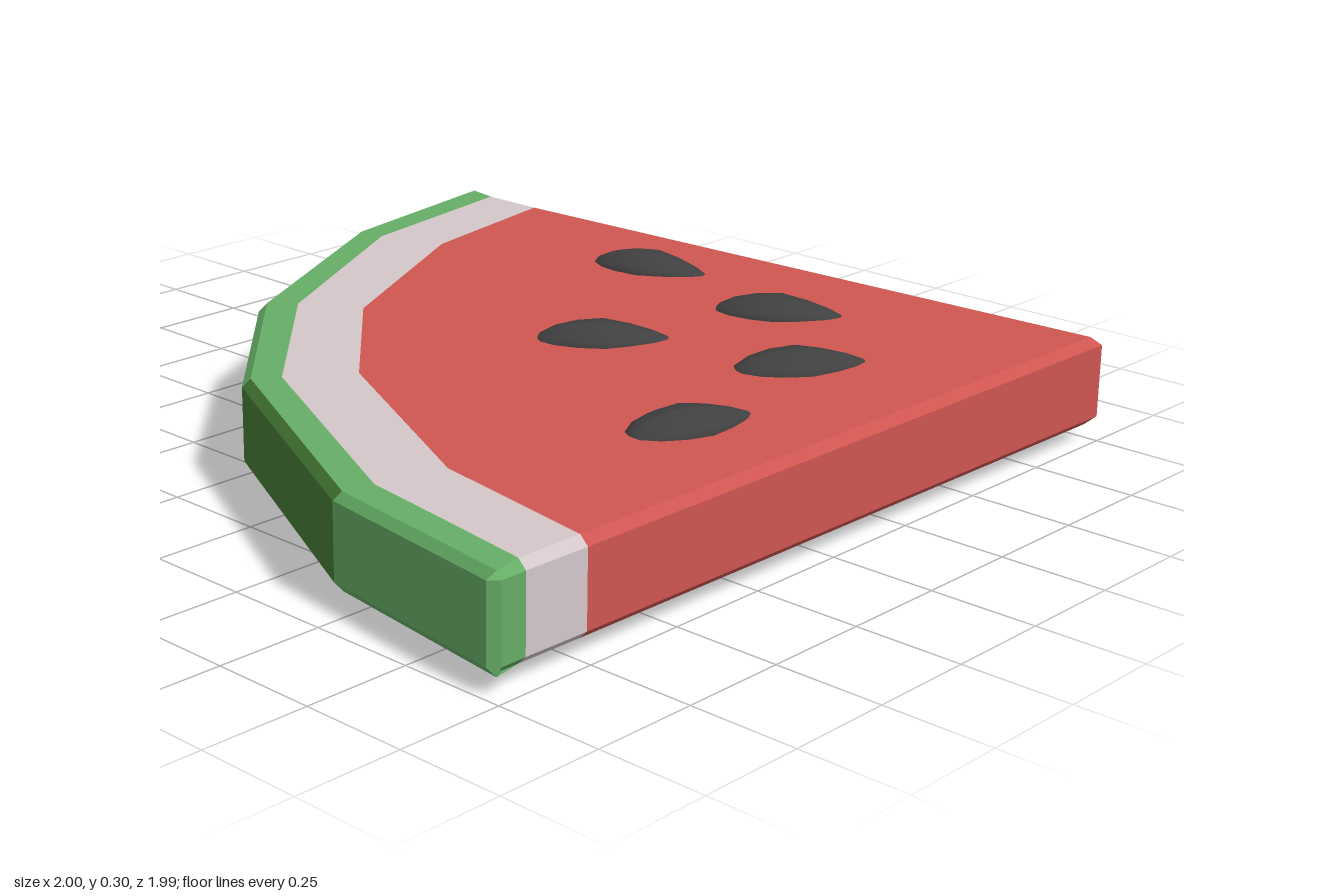
import * as THREE from 'three';

const BEVEL = 0.02;
const LAYERS = [[0.045, BEVEL], [0.065, 0], [0.24, 0], [0.26, BEVEL]]; // height, inset
const TIP = [0.995, -1];

// Contours across the slice as [x, z], running from the back left to the front right
const SKIN = [[-0.98, -0.92], [-1, -0.9], [-0.91, -0.39], [-0.6, 0.205], [-0.195, 0.6], [0.46, 0.92], [0.957, 0.99], [0.977, 0.97]];
const RIND_IN = [[-0.91, -0.92], [-0.907, -0.9], [-0.825, -0.41], [-0.53, 0.14], [-0.14, 0.53], [0.49, 0.835], [0.957, 0.903], [0.977, 0.905]];
const PITH_OUT = RIND_IN.filter((p, i) => i !== 1 && i !== 6);
const PITH_IN = [[-0.74, -0.92], [-0.66, -0.47], [-0.39, 0.055], [-0.04, 0.39], [0.53, 0.67], [0.98, 0.74]];

const quad = (list, a, b, c, d) => list.push(...a, ...b, ...c, ...a, ...c, ...d);

function makeMesh(name, positions, material) {
  const geometry = new THREE.BufferGeometry();
  geometry.setAttribute('position', new THREE.Float32BufferAttribute(positions, 3));
  geometry.computeVertexNormals();
  const mesh = new THREE.Mesh(geometry, material);
  mesh.name = name;
  return mesh;
}

// Point of a contour on one layer, drawn in from the cut faces and the skin
function place([x, z], i, last, [y, e], kind) {
  if (kind === 'tip') return [x - e, y, z + e];
  if (i === 0) return [x + (kind === 'skin' ? e : 0), y, z + e];
  if (i === last) return [x - e, y, z - (kind === 'skin' ? e : 0)];
  if (kind === 'skin') return [x + 0.7 * e, y, z - 0.7 * e];
  return [x, y, z];
}

// Band between two contours: flat faces, cut ends, and skin walls if wallFor is given
function band(list, outer, inner, outerKind, innerKind, wallFor) {
  const last = outer.length - 1;
  const rows = LAYERS.map((layer) => ({
    out: outer.map((p, i) => place(p, i, last, layer, outerKind)),
    inn: inner.map((p, i) => place(p, i, last, layer, innerKind)),
  }));
  const bottom = rows[0], top = rows[3];
  for (let i = 0; i < last; i++) {
    quad(list, top.out[i], top.out[i + 1], top.inn[i + 1], top.inn[i]);
    quad(list, bottom.out[i + 1], bottom.out[i], bottom.inn[i], bottom.inn[i + 1]);
  }
  for (let k = 0; k < 3; k++) {
    const lo = rows[k], hi = rows[k + 1];
    quad(list, lo.inn[0], lo.out[0], hi.out[0], hi.inn[0]);
    quad(list, lo.out[last], lo.inn[last], hi.inn[last], hi.out[last]);
    if (!wallFor) continue;
    for (let i = 0; i < last; i++) {
      quad(wallFor(i), lo.out[i], lo.out[i + 1], hi.out[i + 1], hi.out[i]);
    }
  }
}

// Teardrop with its point towards +x, one unit in each half axis
function seedGeometry() {
  const geometry = new THREE.SphereGeometry(1, 12, 8).rotateZ(-Math.PI / 2);
  const pos = geometry.attributes.position;
  for (let i = 0; i < pos.count; i++) {
    const u = pos.getX(i);
    const taper = u > 0 ? 1 - 0.4 * u : 1;
    pos.setXYZ(i, u, pos.getY(i) * taper, pos.getZ(i) * taper);
  }
  geometry.computeVertexNormals();
  return geometry;
}

export function createModel() {
  const paint = (name, color) => {
    const material = new THREE.MeshStandardMaterial({ color });
    material.name = name;
    return material;
  };
  const red = paint('flesh red', 0xcf5651);
  const pale = paint('pith white', 0xd3c7ca);
  const green = paint('light green', 0x66ad66);
  const darkGreen = paint('dark green', 0x467a35);
  const black = paint('seed black', 0x404040);

  const model = new THREE.Group();
  model.name = 'watermelonSlice';

  // Rind with alternating dark stripes on its skin
  const rind = [], stripes = [];
  band(rind, SKIN, RIND_IN, 'skin', 'cut', (i) => (i === 2 || i === 4 ? stripes : rind));
  model.add(makeMesh('rind', rind, green), makeMesh('rindStripes', stripes, darkGreen));

  // Pith
  const pith = [];
  band(pith, PITH_OUT, PITH_IN, 'cut', 'cut');
  model.add(makeMesh('pith', pith, pale));

  // Flesh, closing in on the tip
  const flesh = [];
  band(flesh, PITH_IN, PITH_IN.map(() => TIP), 'cut', 'tip');
  model.add(makeMesh('flesh', flesh, red));

  // Seeds on both faces: blunt end x, z and pointed end x, z
  const geometry = seedGeometry();
  const seeds = new THREE.Group();
  seeds.name = 'seeds';
  for (const [x0, z0, x1, z1] of [
    [-0.285, -0.655, 0.02, -0.735], [0.2, -0.545, 0.475, -0.705], [0.54, -0.21, 0.71, -0.485],
    [0.06, -0.07, 0.29, -0.295], [0.665, 0.28, 0.745, -0.03],
  ]) {
    for (const y of [0.25, 0.055]) {
      const seed = new THREE.Mesh(geometry, black);
      seed.name = 'seed';
      seed.position.set((x0 + x1) / 2, y, (z0 + z1) / 2);
      seed.rotation.y = Math.atan2(z0 - z1, x1 - x0);
      seed.scale.set(Math.hypot(x1 - x0, z1 - z0) / 2, 0.05, 0.09);
      seeds.add(seed);
    }
  }
  model.add(seeds);
  return model;
}
